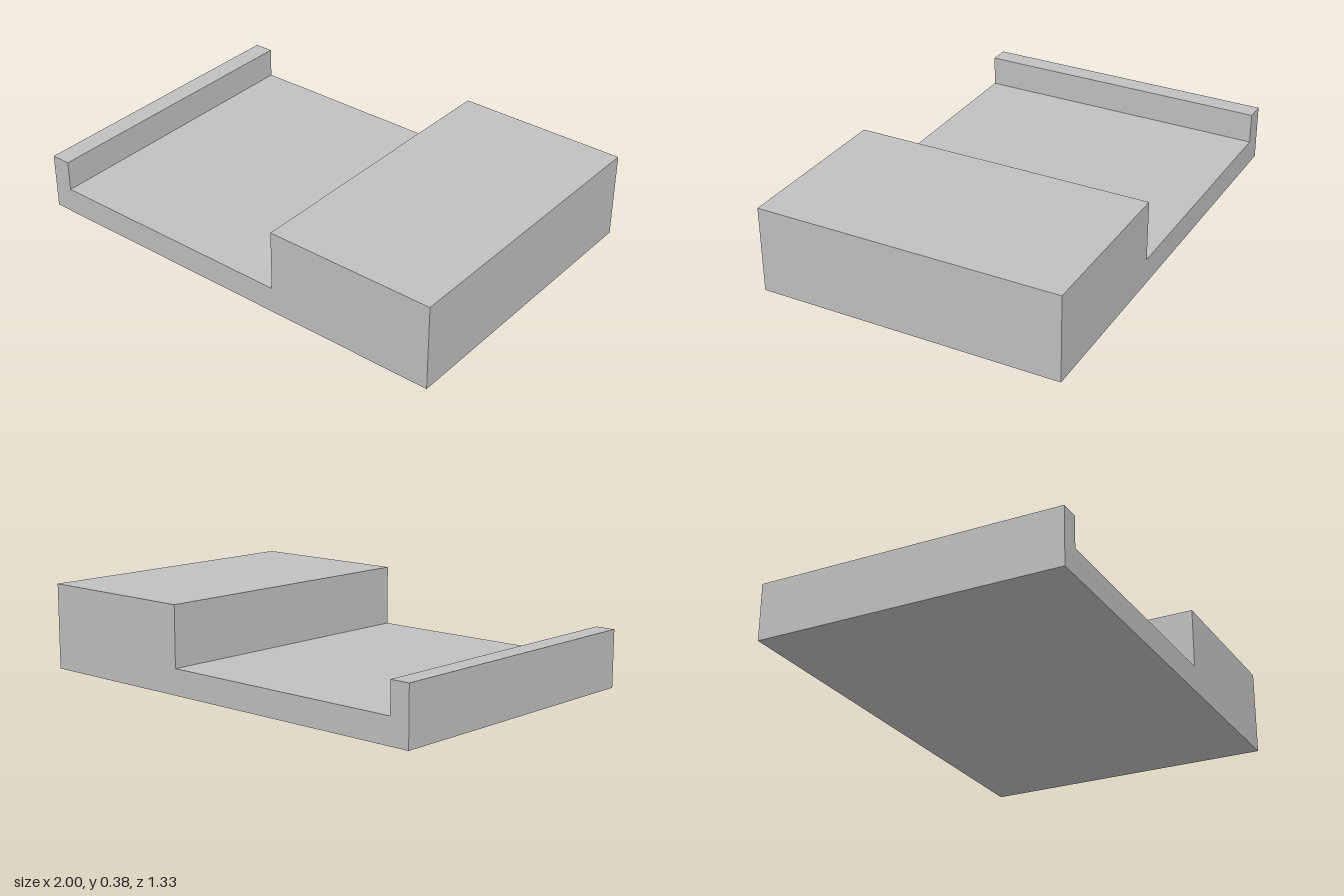
import * as THREE from 'three';

export function createModel() {
  const model = new THREE.Group();
  model.name = 'steppedTray';

  const grey = new THREE.MeshStandardMaterial({ color: 0xc0c0c0 });
  grey.name = 'grey';

  // Stepped cross-section: low lip, flat floor, tall block
  const depth = 1.334;
  const profile = new THREE.Shape([
    [-1, 0], [1, 0], [1, 0.38], [0.24, 0.38],
    [0.24, 0.114], [-0.912, 0.114], [-0.912, 0.25], [-1, 0.25],
  ].map(([x, y]) => new THREE.Vector2(x, y)));

  const geometry = new THREE.ExtrudeGeometry(profile, { depth, bevelEnabled: false });
  geometry.translate(0, 0, -depth / 2);

  const body = new THREE.Mesh(geometry, grey);
  body.name = 'trayBody';
  model.add(body);

  return model;
}
